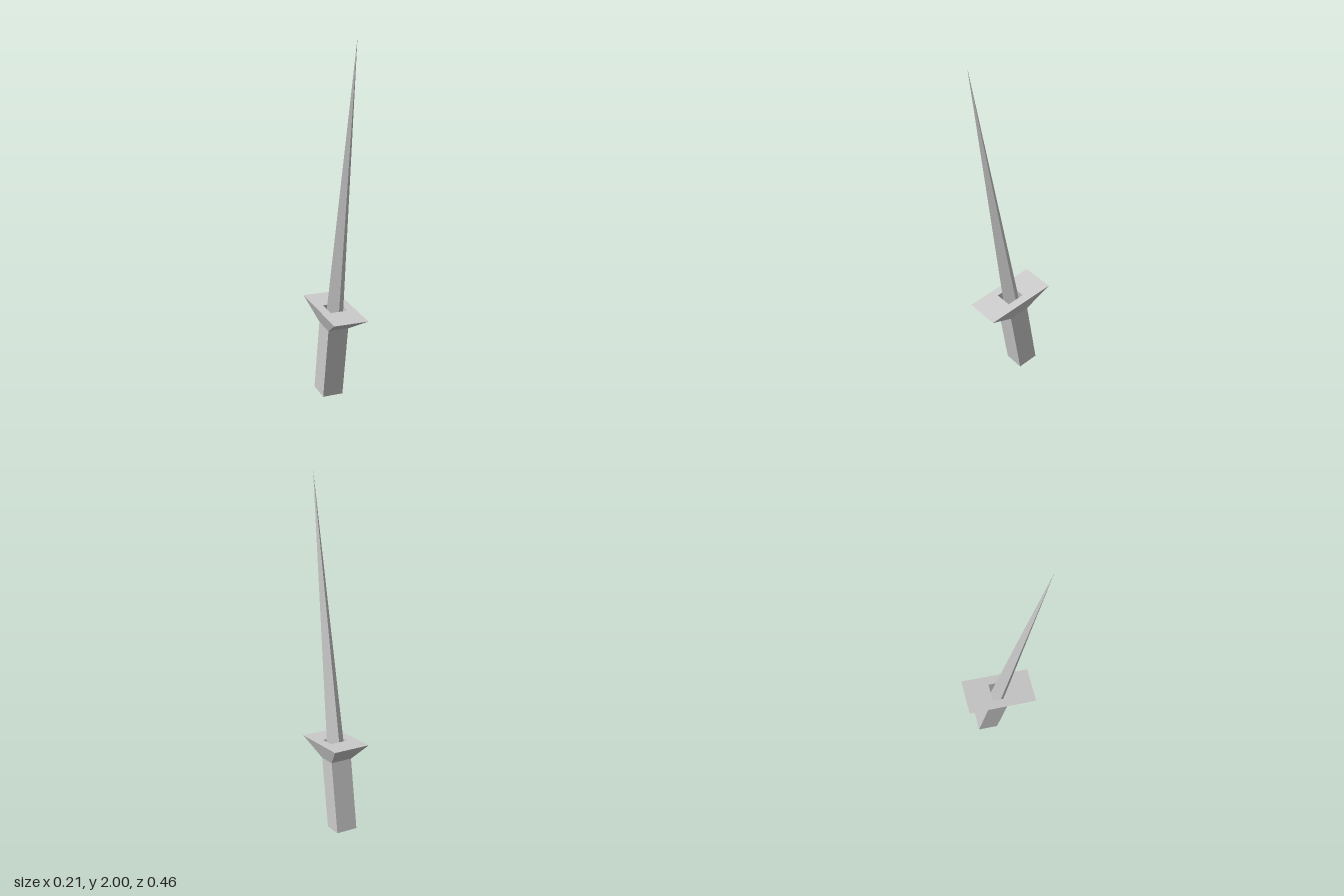
import * as THREE from 'three';

const material = new THREE.MeshStandardMaterial({ color: 0xcccccc, flatShading: true });
const inner = material.clone();
inner.side = THREE.BackSide;

// Four-sided open tube whose half widths change from [x, z] at y0 to [x, z] at y1
function squareTube(y0, low, y1, high) {
  const g = new THREE.CylinderGeometry(Math.SQRT2, Math.SQRT2, 1, 4, 1, true).rotateY(Math.PI / 4);
  const p = g.attributes.position;
  for (let i = 0; i < p.count; i++) {
    const [hx, hz] = p.getY(i) > 0 ? high : low;
    p.setXYZ(i, Math.sign(p.getX(i)) * hx, p.getY(i) > 0 ? y1 : y0, Math.sign(p.getZ(i)) * hz);
  }
  const flat = g.toNonIndexed();
  flat.computeVertexNormals();
  return flat;
}

const rectangle = (path, hx, hz) =>
  path.moveTo(-hx, -hz).lineTo(hx, -hz).lineTo(hx, hz).lineTo(-hx, hz).closePath();

export function createModel() {
  const model = new THREE.Group();
  model.name = 'sword';
  const add = (name, geometry, mat = material) => {
    const mesh = new THREE.Mesh(geometry, mat);
    mesh.name = name;
    model.add(mesh);
  };

  const grip = 0.061, slot = 0.0515;
  const guardBottom = 0.418, guardTop = 0.524, tip = 2.02, bladeStart = 0.25;

  // Square handle with a closed end
  add('handle', squareTube(0, [grip, grip], guardBottom, [grip, grip]));
  add('handleEnd', new THREE.PlaneGeometry(grip * 2, grip * 2).rotateX(Math.PI / 2));

  // Flared guard with a square slot in its top
  add('guard', squareTube(guardBottom, [grip, grip], guardTop, [0.103, 0.207]));
  const top = new THREE.Shape();
  rectangle(top, 0.103, 0.207);
  const hole = new THREE.Path();
  rectangle(hole, slot, slot);
  top.holes.push(hole);
  add('guardTop', new THREE.ShapeGeometry(top).rotateX(-Math.PI / 2).translate(0, guardTop, 0));

  // Walls and floor of the slot
  add('slotWalls', squareTube(bladeStart, [slot, slot], guardTop, [slot, slot]), inner);
  add('slotFloor', new THREE.PlaneGeometry(slot * 2, slot * 2).rotateX(-Math.PI / 2).translate(0, bladeStart, 0));

  // Diamond-section blade tapering to a point, seated inside the slot
  const length = tip - bladeStart;
  const radius = (0.0515 * length) / (tip - guardTop);
  add('blade', new THREE.ConeGeometry(radius, length, 4).translate(0, bladeStart + length / 2, 0));

  // Lean the whole sword forward
  model.rotation.x = THREE.MathUtils.degToRad(10);
  model.position.set(0, 0.0106, -0.118);
  const root = new THREE.Group();
  root.add(model);
  return root;
}
